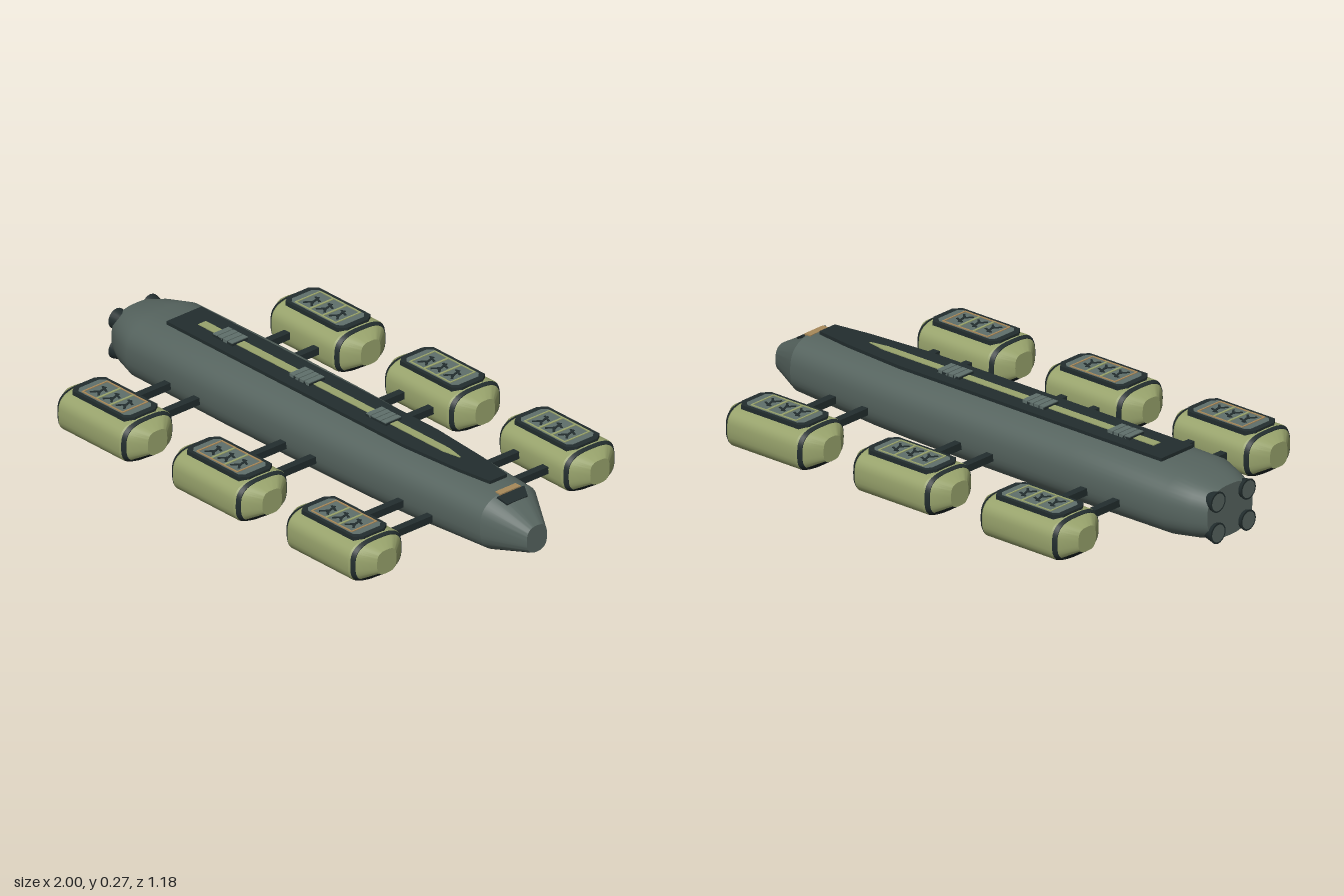
import * as THREE from 'three';
import { toCreasedNormals } from 'three/addons/utils/BufferGeometryUtils.js';

const mat = (name, color) => new THREE.MeshStandardMaterial({ name, color });
const M = {
  hull: mat('hull grey', 0x56645f),
  dark: mat('dark trim', 0x222d2e),
  belly: mat('belly black', 0x192222),
  pod: mat('olive green', 0x98a36c),
  panel: mat('panel grey', 0x5f6f6b),
  tan: mat('tan', 0xa8895a),
};

function add(parent, name, geometry, material, x = 0, y = 0, z = 0) {
  const mesh = new THREE.Mesh(geometry, material);
  mesh.name = name;
  mesh.position.set(x, y, z);
  parent.add(mesh);
  return mesh;
}
const box = (parent, name, material, w, h, d, x, y, z) =>
  add(parent, name, new THREE.BoxGeometry(w, h, d), material, x, y, z);

// Loft of superellipse sections along x; section = [x, halfWidth, bottom, top].
// Material group 0 is the upper skin and caps, group 1 the belly below sin(t) = bellyLine.
function loft(sections, power, crease, bellyLine, n = 40) {
  const pos = [], upper = [], belly = [];
  const bend = (v) => Math.sign(v) * Math.abs(v) ** (2 / power);
  for (const [x, w, lo, hi] of sections) {
    for (let i = 0; i < n; i++) {
      const t = (i / n) * Math.PI * 2;
      pos.push(x, (lo + hi) / 2 + (bend(Math.sin(t)) * (hi - lo)) / 2, bend(Math.cos(t)) * w);
    }
  }
  const last = sections.length - 1;
  for (const s of [0, last]) pos.push(sections[s][0], (sections[s][2] + sections[s][3]) / 2, 0);
  const c0 = sections.length * n;
  for (let i = 0; i < n; i++) {
    const j = (i + 1) % n;
    const skin = Math.sin(((i + 0.5) / n) * Math.PI * 2) < bellyLine ? belly : upper;
    for (let s = 0; s < last; s++) {
      const a = s * n + i, b = a + n, c = s * n + j, d = c + n;
      skin.push(a, b, c, b, d, c);
    }
    upper.push(c0, i, j, c0 + 1, last * n + j, last * n + i);
  }
  const g = new THREE.BufferGeometry();
  g.setAttribute('position', new THREE.Float32BufferAttribute(pos, 3));
  g.setIndex([...upper, ...belly]);
  g.addGroup(0, upper.length, 0);
  g.addGroup(upper.length, belly.length, 1);
  return toCreasedNormals(g, crease);
}

// Flat plate in the xz plane, mirrored in z; half outline = [x, halfWidth]
function plate(half, height) {
  const pts = [...half, ...half.slice().reverse().map(([x, z]) => [x, -z])];
  const shape = new THREE.Shape(pts.map(([x, z]) => new THREE.Vector2(x, z)));
  return new THREE.ExtrudeGeometry(shape, { depth: height, bevelEnabled: false }).rotateX(-Math.PI / 2);
}

function createPod(trim) {
  const pod = new THREE.Group();
  pod.name = 'cargoPod';
  const tip = [0.212, 0.043, 0.055, 0.142], shoulder = [0.172, 0.1, 0.03, 0.166], full = [0.15, 0.117, 0.021, 0.175];
  const back = (s) => [-s[0], s[1], s[2], s[3]];
  add(pod, 'podShell', loft([back(tip), back(shoulder), back(full), full, shoulder, tip], 3, 0.4, -0.72), [M.pod, M.belly]);
  // Narrow band around each shoulder
  const inner = [0.157, 0.1135, 0.022, 0.175], outer = [0.17, 0.1035, 0.028, 0.169];
  add(pod, 'podBand', loft([inner, outer], 3, 0.6, -0.72), [M.dark, M.belly]);
  add(pod, 'podBand', loft([back(outer), back(inner)], 3, 0.6, -0.72), [M.dark, M.belly]);
  // Roof hatch with chamfered corners
  add(pod, 'hatchBase', plate([[-0.15, 0.045], [-0.128, 0.074], [0.128, 0.074], [0.15, 0.045]], 0.018), M.dark, 0, 0.165, 0);
  add(pod, 'hatchPanel', plate([[-0.128, 0.045], [-0.112, 0.061], [0.112, 0.061], [0.128, 0.045]], 0.003), M.panel, 0, 0.181, 0);
  // Thin frame and dividers
  for (const s of [-1, 1]) {
    box(pod, 'frameRail', trim, 0.202, 0.003, 0.006, 0, 0.185, s * 0.055);
    box(pod, 'frameEnd', trim, 0.006, 0.003, 0.11, s * 0.099, 0.185, 0);
    box(pod, 'cellDivider', M.pod, 0.008, 0.003, 0.106, s * 0.032, 0.185, 0);
  }
  // Small crossed marks in each cell
  for (const x of [-0.064, 0, 0.064]) {
    for (const [dx, dz, len, turn] of [[0, 0, 0.05, 0.3], [0, -0.012, 0.038, 1.2], [-0.008, 0.024, 0.034, -0.6], [0.01, 0.022, 0.03, 0.7]]) {
      box(pod, 'cellMark', M.dark, 0.008, 0.002, len, x + dx, 0.185, dz).rotation.y = turn;
    }
  }
  return pod;
}

export function createModel() {
  const model = new THREE.Group();
  model.name = 'transportShip';

  // Main hull with dark belly
  add(model, 'hull', loft([
    [-0.985, 0.112, 0.022, 0.205],
    [-0.93, 0.143, 0.012, 0.222],
    [-0.84, 0.176, 0.004, 0.24],
    [-0.4, 0.176, 0.0, 0.247],
    [0, 0.17, 0.0, 0.247],
    [0.3, 0.163, 0.002, 0.243],
    [0.5, 0.154, 0.006, 0.24],
    [0.86, 0.128, 0.022, 0.23],
    [1.0, 0.045, 0.052, 0.15],
  ], 2.6, 0.42, -0.76, 48), [M.hull, M.belly]);

  // Dorsal deck, spine stripe and slatted clamps
  add(model, 'deckPlate', plate([[-0.75, 0.078], [0.42, 0.078], [0.67, 0.058], [0.81, 0.038]], 0.012), M.dark, 0, 0.243, 0);
  add(model, 'spineStripe', plate([[-0.66, 0.017], [0.55, 0.015], [0.62, 0.002]], 0.005), M.pod, 0, 0.253, 0);
  for (const x of [-0.52, -0.14, 0.24]) {
    box(model, 'clampBase', M.dark, 0.1, 0.01, 0.07, x, 0.258, 0);
    for (let i = 0; i < 4; i++) {
      box(model, 'clampSlat', M.panel, 0.021, 0.012, 0.07, x + (i - 1.5) * 0.025, 0.26, 0);
    }
  }

  // Cockpit window and the dark visor on the nose slope
  box(model, 'cockpitWindow', M.tan, 0.026, 0.008, 0.09, 0.857, 0.228, 0);
  const visor = plate([[-0.02, 0.06], [0.02, 0.045]], 0.008);
  add(model, 'cockpitVisor', visor, M.dark, 0.884, 0.211, 0).rotation.z = -0.52;

  // Four flared engine nozzles
  for (const y of [0.055, 0.167]) {
    for (const z of [-0.075, 0.075]) {
      add(model, 'engineNozzle', new THREE.CylinderGeometry(0.037, 0.027, 0.04, 20).rotateZ(Math.PI / 2), M.dark, -0.98, y, z);
      add(model, 'engineFace', new THREE.CircleGeometry(0.031, 20).rotateY(-Math.PI / 2), M.hull, -1.001, y, z);
    }
  }

  // Pods, each on a pair of struts
  for (const side of [-1, 1]) {
    for (const x of [-0.564, 0.004, 0.572]) {
      const pod = createPod(side > 0 ? M.tan : M.pod);
      pod.position.set(x, 0, side * 0.475);
      model.add(pod);
      for (const dx of [-0.072, 0.072]) {
        box(model, 'strut', M.dark, 0.028, 0.026, 0.23, x + dx, 0.095, side * 0.272);
      }
    }
  }
  return model;
}
